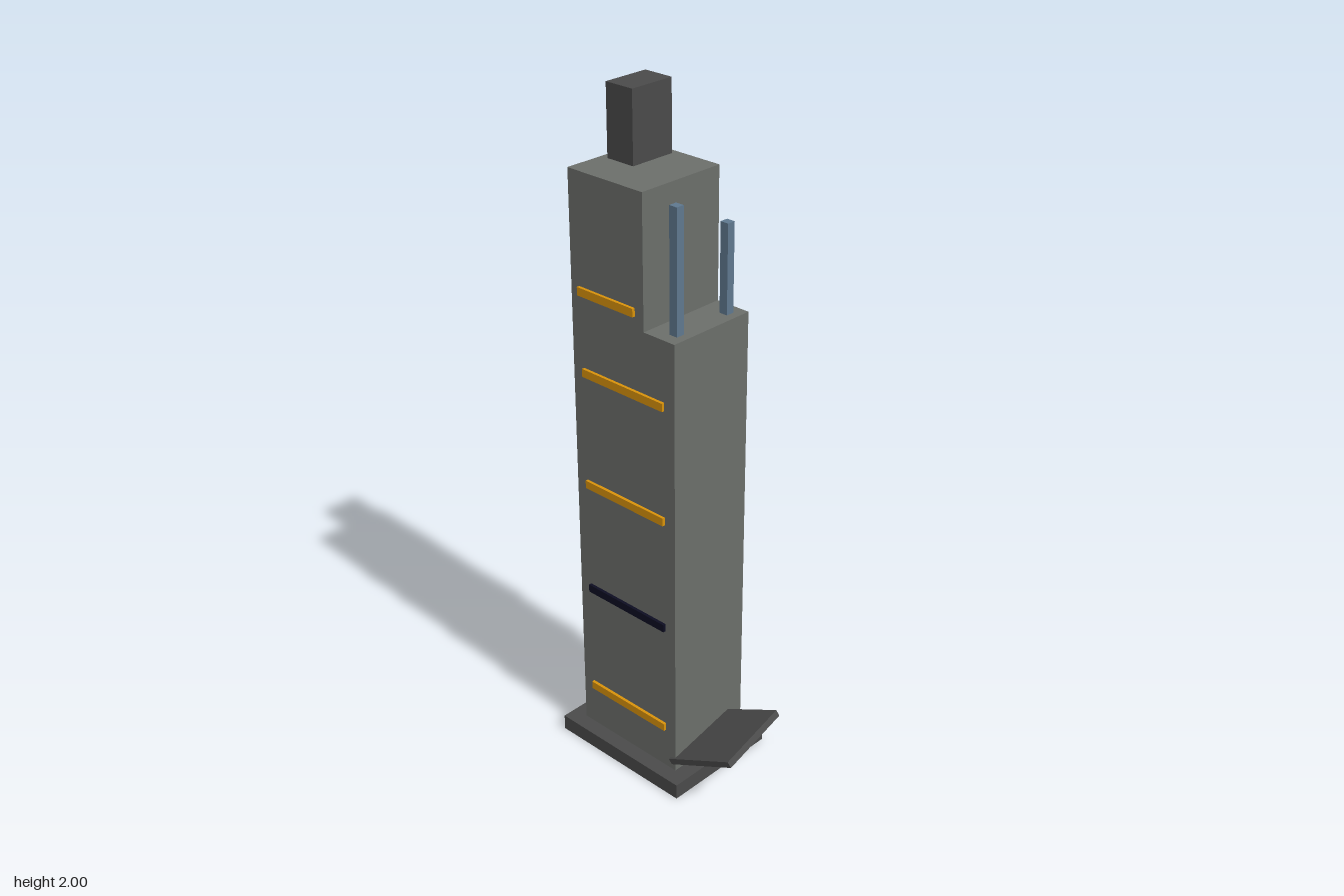
import * as THREE from 'three';

const mat = (name, color) => {
  const m = new THREE.MeshStandardMaterial({ color });
  m.name = name;
  return m;
};

export function createModel() {
  const model = new THREE.Group();
  model.name = 'tower';
  const concrete = mat('concrete grey', 0x6b6e6a);
  const dark = mat('dark grey', 0x4a4a4a);
  const steel = mat('steel blue', 0x5f788e);
  const amber = mat('amber', 0xd8920a);
  const navy = mat('unlit navy', 0x0d0d22);

  // Box given by its lower and upper limits on each axis
  const block = (name, material, [x0, x1], [y0, y1], [z0, z1]) => {
    const mesh = new THREE.Mesh(new THREE.BoxGeometry(x1 - x0, y1 - y0, z1 - z0), material);
    mesh.position.set((x0 + x1) / 2, (y0 + y1) / 2, (z0 + z1) / 2);
    mesh.name = name;
    model.add(mesh);
    return mesh;
  };

  // Plinth and roof block
  block('plinth', dark, [-0.322, 0.151], [0, 0.048], [-0.188, 0.188]);
  block('roofBlock', dark, [-0.25, -0.156], [1.798, 2], [-0.121, 0.022]);

  // Stepped tower body, one L-shaped profile
  const profile = new THREE.Shape([
    [-0.274, 0.048], [0.102, 0.048], [0.102, 1.42],
    [-0.007, 1.42], [-0.007, 1.798], [-0.274, 1.798],
  ].map(([x, y]) => new THREE.Vector2(x, y)));
  const bodyGeometry = new THREE.ExtrudeGeometry(profile, { depth: 0.282, bevelEnabled: false });
  bodyGeometry.translate(0, 0, -0.141);
  const body = new THREE.Mesh(bodyGeometry, concrete);
  body.name = 'towerBody';
  model.add(body);

  // Masts on the terrace
  block('frontMast', steel, [0.051, 0.077], [1.42, 1.77], [0.08, 0.105]);
  block('backMast', steel, [0.051, 0.077], [1.42, 1.675], [-0.109, -0.084]);

  // Window strips, lit or unlit, on the front and back
  const frontColors = [amber, navy, amber, amber];
  const backColors = [amber, amber, navy, navy];
  for (let i = 0; i < 4; i++) {
    const y = 0.19 + i * 0.347;
    const ys = [y - 0.012, y + 0.012];
    block('frontWindowStrip', frontColors[i], [-0.234, 0.065], ys, [0.141, 0.15]);
    block('backWindowStrip', backColors[i], [-0.234, 0.065], ys, [-0.152, -0.141]);
  }
  block('upperWindowStrip', amber, [-0.244, -0.038], [1.455, 1.479], [0.141, 0.15]);

  // Tilted slab leaning out of the right-hand foot
  const along = new THREE.Vector3(0.891, 0.454, 0).normalize();
  const across = new THREE.Vector3(0.09, -0.177, 0.98).normalize();
  const up = new THREE.Vector3().crossVectors(across, along);
  const slab = new THREE.Mesh(new THREE.BoxGeometry(0.258, 0.02, 0.236), dark);
  slab.quaternion.setFromRotationMatrix(new THREE.Matrix4().makeBasis(along, up, across));
  slab.position.set(0.189, 0.153, 0.029);
  slab.name = 'tiltedSlab';
  model.add(slab);

  return model;
}
